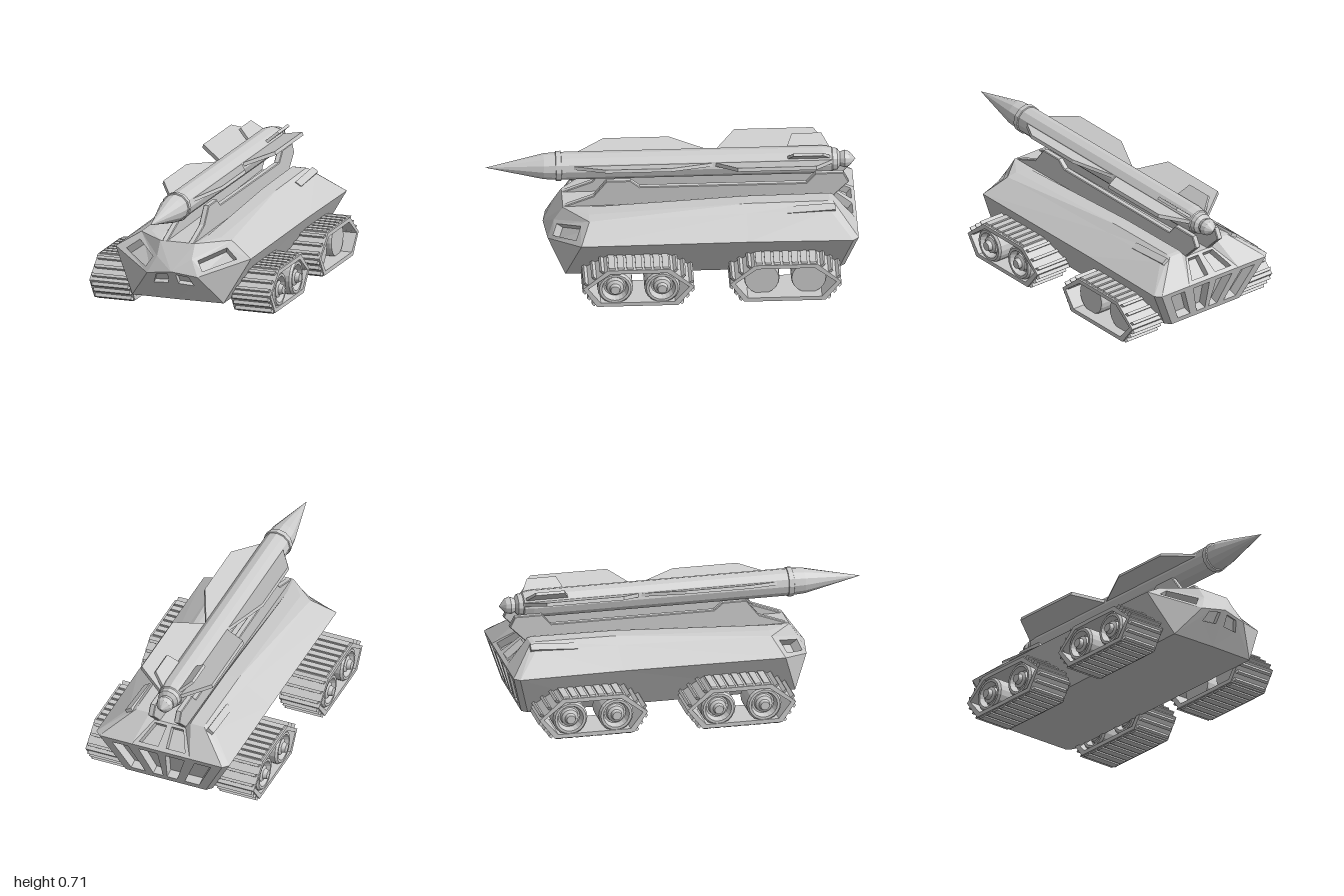
import * as THREE from 'three';

const mat = new THREE.MeshStandardMaterial({ color: 0xcccccc, flatShading: true });
const thin = new THREE.MeshStandardMaterial({ color: 0xcccccc, flatShading: true, side: THREE.DoubleSide });

function add(parent, name, geometry, x = 0, y = 0, z = 0, material = mat) {
  const mesh = new THREE.Mesh(geometry, material);
  mesh.name = name;
  mesh.position.set(x, y, z);
  parent.add(mesh);
  return mesh;
}

const shapeOf = (pts) => new THREE.Shape(pts.map(([x, y]) => new THREE.Vector2(x, y)));
const V = (x, y, z) => new THREE.Vector3(x, y, z);

// Extrude centred on its thickness
function slab(shape, depth, bevel = 0) {
  return new THREE.ExtrudeGeometry(shape, {
    depth: depth - 2 * bevel, bevelEnabled: bevel > 0, bevelSize: bevel, bevelThickness: bevel,
    bevelOffset: -bevel, bevelSegments: 1,
  }).translate(0, 0, -depth / 2 + bevel);
}

// Armoured hull: half is described, every face is mirrored in x
function hullGeometry() {
  const out = [];
  const tri = (a, b, c) => {
    for (const p of [a, b, c]) out.push(p.x, p.y, p.z);
    for (const p of [a, c, b]) out.push(-p.x, p.y, p.z);
  };
  const quad = (a, b, c, d) => { tri(a, b, c); tri(a, c, d); };
  // Face with a recessed opening given in its own u, v range
  const framed = (a, b, c, d, u0, u1, v0, v1, depth) => {
    const at = (u, v) => a.clone().lerp(b, u).lerp(d.clone().lerp(c, u), v);
    const normal = c.clone().sub(a).cross(d.clone().sub(b)).normalize();
    const outer = [a, b, c, d];
    const inner = [at(u0, v0), at(u1, v0), at(u1, v1), at(u0, v1)];
    const floor = inner.map((p) => p.clone().addScaledVector(normal, -depth));
    for (let i = 0; i < 4; i++) {
      const j = (i + 1) % 4;
      quad(outer[i], outer[j], inner[j], inner[i]);
      quad(inner[i], inner[j], floor[j], floor[i]);
    }
    quad(...floor);
  };

  // Sections front to back: keel, chine, widest edge, shoulder, deck crest, channel
  const sections = [
    [V(0, .09, .585), V(.263, .09, .58), V(.39, .33, .5), V(.26, .41, .45), V(.2, .42, .45), V(.12, .42, .45), V(.09, .41, .45), V(0, .41, .45)],
    [V(0, .09, -.4), V(.263, .09, -.4), V(.39, .335, -.4), V(.25, .43, -.4), V(.2, .465, -.4), V(.12, .465, -.4), V(.09, .42, -.4), V(0, .42, -.4)],
    [V(0, .09, -.9), V(.263, .09, -.9), V(.39, .33, -.97), V(.25, .44, -.85), V(.2, .47, -.85), V(.12, .47, -.85), V(.09, .43, -.85), V(0, .43, -.85)],
    [V(0, .09, -.93), V(.235, .09, -.93), V(.36, .33, -1), V(.24, .44, -.88), V(.2, .465, -.87), V(.12, .465, -.87), V(.09, .43, -.87), V(0, .43, -.87)],
  ];
  for (let k = 0; k < 3; k++) {
    const f = sections[k], r = sections[k + 1];
    for (let i = 0; i < 7; i++) quad(f[i], r[i], r[i + 1], f[i + 1]);
  }

  // Nose with cab windows and side lamp recesses
  const [bc, b, w, s, d1, d2, d3, c] = sections[0];
  const n = V(.145, .247, .67), nc = V(0, .27, .69), m = V(.1, .335, .635);
  const t = V(.1, .41, .585), tc = V(0, .41, .585);
  framed(bc, b, n, nc, .15, .6, .6, .92, .025);
  tri(b, w, n);
  framed(n, w, s, m, .12, .8, .2, .8, .05);
  quad(nc, n, m, t);
  tri(nc, t, tc);
  tri(m, s, t);
  tri(t, s, d1);
  tri(t, d1, d2);
  tri(t, d2, d3);
  quad(t, d3, c, tc);

  // Tail with slotted panels between slanted braces
  const [kc, kb, kw, ks, e1, e2, e3, ec] = sections[3];
  const pb = V(.07, .09, -.93), pt = V(.17, .33, -1), pc = V(0, .33, -1);
  framed(kb, pb, pt, kw, .3, .8, .12, .88, .05);
  framed(pb, kc, pc, pt, .15, .85, .12, .88, .05);
  framed(pt, pc, ec, e3, .15, .85, .15, .9, .04);
  tri(pt, e3, e2);
  tri(kw, pt, e2);
  tri(kw, e2, e1);
  tri(kw, e1, ks);

  const g = new THREE.BufferGeometry();
  g.setAttribute('position', new THREE.Float32BufferAttribute(out, 3));
  g.computeVertexNormals();
  return g;
}

// Track unit: hollow six-sided belt, tread pads and two road wheels
function makeTrack(name, x, z, hubSide) {
  const track = new THREE.Group();
  track.name = name;
  track.position.set(x, .13, z);
  const width = .235;
  const loop = [[.3, 0], [.168, .112], [-.172, .112], [-.3, 0], [-.215, -.112], [.225, -.112]];
  const belt = shapeOf(loop);
  belt.holes.push(new THREE.Path(loop.map(([a, b]) => new THREE.Vector2(a * .91, b * .8))));
  add(track, 'belt', slab(belt, width).rotateY(-Math.PI / 2));

  loop.forEach(([z0, y0], i) => {
    const [z1, y1] = loop[(i + 1) % loop.length];
    const length = Math.hypot(z1 - z0, y1 - y0);
    const count = Math.round(length / .052);
    for (let k = 0; k < count; k++) {
      const f = (k + .5) / count;
      const h = .016, l = length / count * .72;
      const pad = slab(shapeOf([[-.112, -h / 2], [.112, -h / 2], [.104, h / 2], [-.104, h / 2]]), l);
      const mesh = add(track, 'treadPad', pad, 0, y0 + (y1 - y0) * f, z0 + (z1 - z0) * f);
      // Local y is turned to point away from the belt
      mesh.rotation.x = Math.atan2(z0 - z1, y1 - y0) + Math.PI / 2;
      const up = V(0, 1, 0).applyEuler(mesh.rotation);
      if (up.y * mesh.position.y + up.z * mesh.position.z < 0) mesh.rotation.x += Math.PI;
    }
  });

  const wheelProfile = [[0, -.06], [.092, -.06], [.096, -.05], [.096, .1], [.086, .112], [.072, .112], [.06, .075],
    [.05, .075], [.046, .1], [.03, .108], [.024, .13], [0, .13]].map(([r, a]) => new THREE.Vector2(r, a));
  for (const dz of [-.127, .127]) {
    add(track, 'roadWheel', new THREE.LatheGeometry(wheelProfile, 20).rotateZ(-hubSide * Math.PI / 2), 0, -.005, dz);
  }
  return track;
}

// Rocket with two pairs of wings and a pair of small tail fins
function makeRocket() {
  const rocket = new THREE.Group();
  rocket.name = 'rocket';
  rocket.position.y = .612;
  const profile = [[0, -1], [.04, -.965], [.048, -.94], [.038, -.915], [.058, -.9], [.062, -.875], [.068, -.87], [.075, -.82],
    [.075, .59], [.081, .592], [.081, .62], [.074, .622], [.07, .685], [0, 1]].map(([r, a]) => new THREE.Vector2(r, a));
  add(rocket, 'rocketBody', new THREE.LatheGeometry(profile, 12).rotateX(Math.PI / 2));

  const fins = [
    ['frontWing', 18.5, .018, [[.05, .56], [.075, .52], [.18, .355], [.18, 0], [.07, -.23], [.05, -.23]]],
    ['rearWing', 18.5, .02, [[.05, -.23], [.07, -.24], [.22, -.355], [.22, -.78], [.07, -.87], [.05, -.87]]],
    ['tailFin', 41, .016, [[.05, -.63], [.07, -.63], [.148, -.66], [.148, -.82], [.07, -.86], [.05, -.86]]],
  ];
  for (const [name, degrees, thickness, pts] of fins) {
    const angle = THREE.MathUtils.degToRad(degrees);
    for (const turn of [angle, Math.PI - angle]) {
      add(rocket, name, slab(shapeOf(pts), thickness).rotateX(Math.PI / 2).rotateZ(turn));
    }
  }
  return rocket;
}

export function createModel() {
  const model = new THREE.Group();
  model.name = 'rocketCarrier';
  const body = new THREE.Group();
  body.name = 'body';
  body.position.x = .011;
  model.add(body);
  add(body, 'hull', hullGeometry(), 0, 0, 0, thin);

  // Cradle plates carrying the rocket, and ribs on the rear shoulders
  const cradle = shapeOf([[.6, .37], [.58, .41], [.42, .47], [.35, .56], [.22, .56], [.17, .52], [-.73, .52],
    [-.78, .578], [-.93, .578], [-.96, .52], [-.88, .44], [-.85, .4], [.4, .37]]);
  for (const side of [-1, 1]) {
    add(body, 'cradlePlate', slab(cradle, .032, .004).rotateY(-Math.PI / 2), side * .076);
    const rib = add(body, 'rearRib', new THREE.BoxGeometry(.04, .03, .26), side * .235, .44, -.75);
    rib.rotation.set(.06, 0, -side * .6);
  }
  body.add(makeRocket());

  model.add(
    makeTrack('frontLeftTrack', .393, .195, 1),
    makeTrack('frontRightTrack', -.404, .223, -1),
    makeTrack('rearLeftTrack', .378, -.6, -1),
    makeTrack('rearRightTrack', -.368, -.588, -1),
  );
  return model;
}
